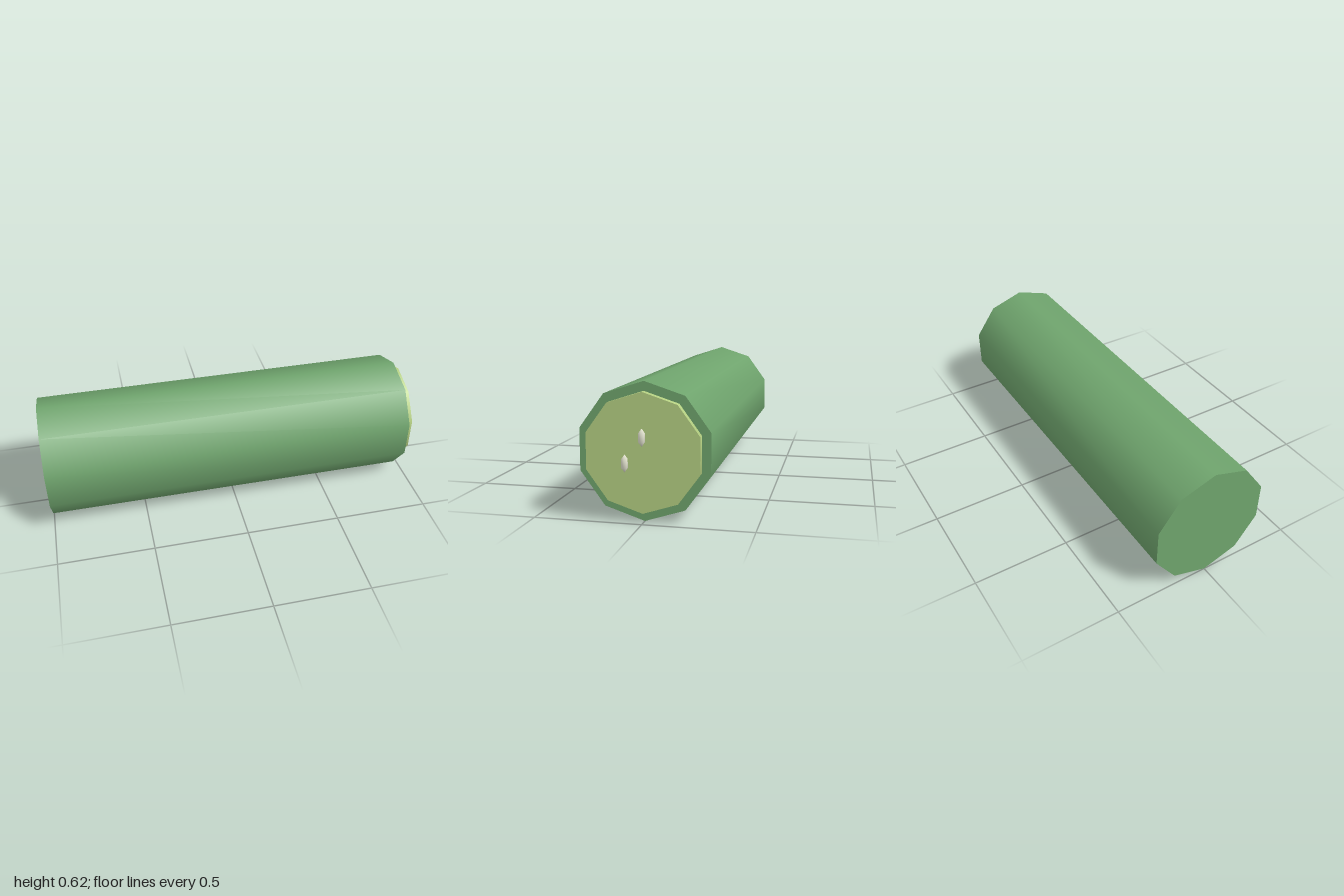
import * as THREE from 'three';

export function createModel() {
  const group = new THREE.Group();
  group.name = 'cucumber';
  const CENTER_Y = 0.312;
  const skin = new THREE.MeshStandardMaterial({ color: 0x6fa46d });
  const flesh = new THREE.MeshStandardMaterial({ color: 0xb5d082 });
  const seedMat = new THREE.MeshStandardMaterial({ color: 0xe6e6d2 });

  // Ten-sided cylinder lying along x, with a corner at the top
  function log(name, radius, x0, x1, material) {
    const geo = new THREE.CylinderGeometry(radius, radius, x1 - x0, 10, 1, false, Math.PI / 2);
    geo.rotateZ(-Math.PI / 2);
    const mesh = new THREE.Mesh(geo, material);
    mesh.name = name;
    mesh.position.set((x0 + x1) / 2, CENTER_Y, 0);
    group.add(mesh);
  }
  log('skin', 0.312, -1, 0.945, skin);
  log('flesh', 0.269, 0.9, 0.98, flesh);

  // Seeds: low-poly spheres stretched upright, half sunk in the cut face
  const seedGeo = new THREE.SphereGeometry(1, 6, 3);
  seedGeo.scale(0.0175, 0.04, 0.0175);
  [[0.383, 0], [0.266, 0.078]].forEach(([y, z], i) => {
    const seed = new THREE.Mesh(seedGeo, seedMat);
    seed.name = `seed${i + 1}`;
    seed.position.set(0.985, y, z);
    group.add(seed);
  });
  return group;
}
